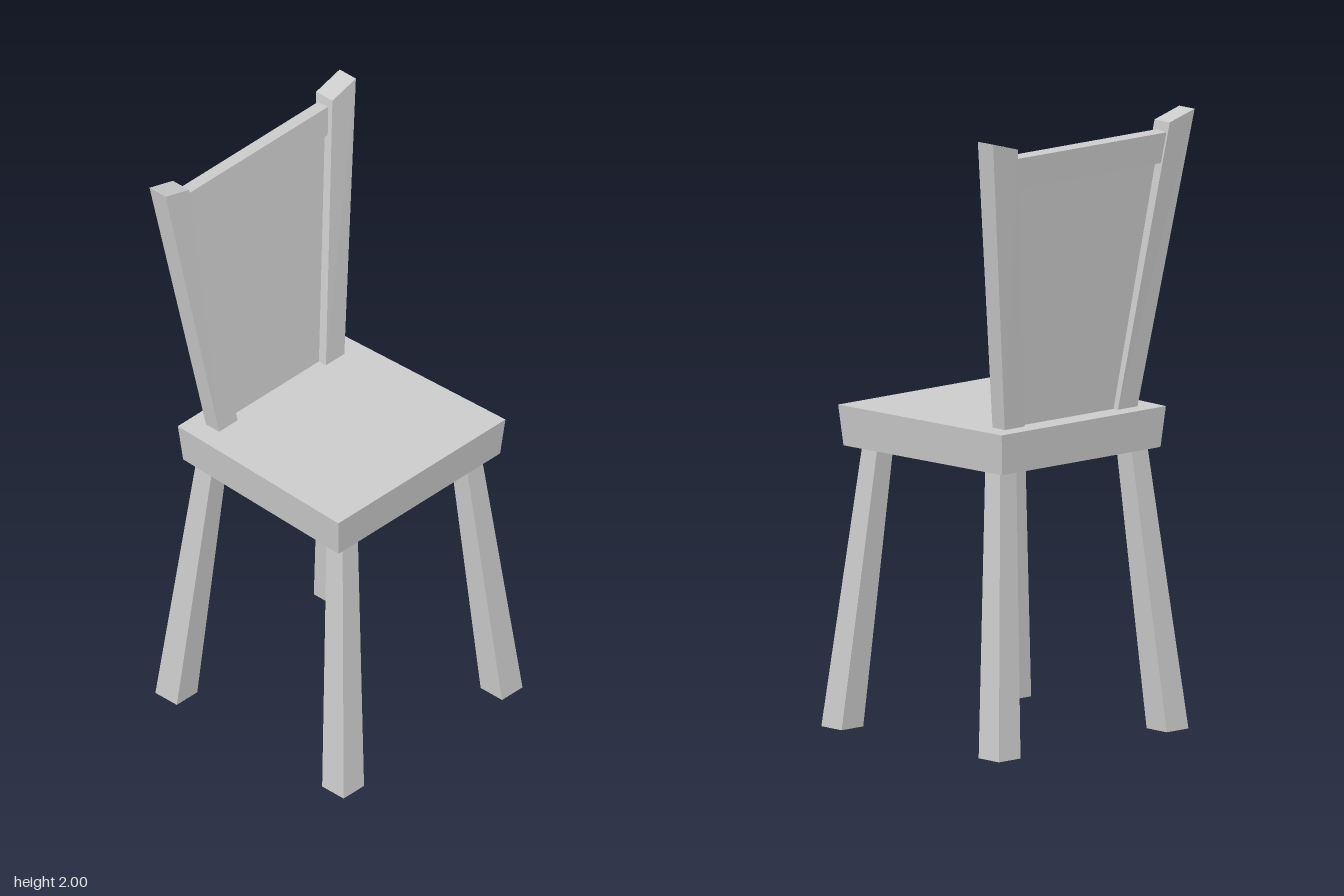
import * as THREE from 'three';

const solid = new THREE.MeshStandardMaterial({ color: 0xcccccc, flatShading: true });
const thin = new THREE.MeshStandardMaterial({ color: 0xcccccc, flatShading: true, side: THREE.DoubleSide });

// Six-sided block: corner(right, top, front) returns the [x, y, z] of each corner.
function block(name, corner, open = false) {
  const geo = new THREE.BoxGeometry(1, 1, 1);
  const p = geo.attributes.position;
  for (let i = 0; i < p.count; i++) {
    p.setXYZ(i, ...corner(p.getX(i) > 0, p.getY(i) > 0, p.getZ(i) > 0));
  }
  if (open) {
    // drop the top and bottom faces
    const index = Array.from(geo.index.array);
    index.splice(12, 12);
    geo.setIndex(index);
  }
  geo.computeVertexNormals();
  const mesh = new THREE.Mesh(geo, open ? thin : solid);
  mesh.name = name;
  return mesh;
}

export function createModel() {
  const chair = new THREE.Group();
  chair.name = 'chair';

  // Seat: wider at the front, tapering slightly downwards
  chair.add(block('seat', (right, top, front) => {
    const x = (front ? 0.385 : 0.357) - (top ? 0 : 0.013);
    const z = front ? (top ? 0.363 : 0.352) : (top ? -0.366 : -0.355);
    return [right ? x : -x, top ? 1.043 : 0.911, z];
  }));

  for (const sx of [1, -1]) {
    const side = sx > 0 ? 'Left' : 'Right';

    // Splayed hollow legs
    for (const sz of [1, -1]) {
      chair.add(block((sz > 0 ? 'front' : 'back') + side + 'Leg', (right, top, front) => {
        const along = (outer) => (top ? (outer ? 0.32 : 0.25) : (outer ? 0.412 : 0.318));
        return [sx * along(right === sx > 0), top ? 0.912 : 0, sz * along(front === sz > 0)];
      }, true));
    }

    // Back posts, leaning outwards and backwards with a slanted top
    chair.add(block('back' + side + 'Post', (right, top, front) => {
      const outer = right === sx > 0;
      const x = top ? (outer ? 0.438 : 0.33) : (outer ? 0.288 : 0.203);
      const y = top ? (outer ? 2 : 1.97) : 1.04;
      const z = top ? (front ? -0.342 : -0.413) : (front ? -0.25 : -0.307);
      return [sx * x, y, z];
    }));
  }

  // Top rail between the posts
  chair.add(block('topRail', (right, top, front) => {
    const x = top ? 0.335 : 0.325;
    const y = (top ? 1.937 : 1.838) + (front ? 0.004 : 0);
    const z = (front ? -0.346 : -0.391) - (top ? 0.011 : 0);
    return [right ? x : -x, y, z];
  }));

  // Thin back panel
  chair.add(block('backPanel', (right, top, front) => {
    const x = top ? 0.34 : 0.23;
    const z = (top ? -0.361 : -0.28) - (front ? 0 : 0.006);
    return [right ? x : -x, top ? 1.86 : 1.035, z];
  }));

  return chair;
}
